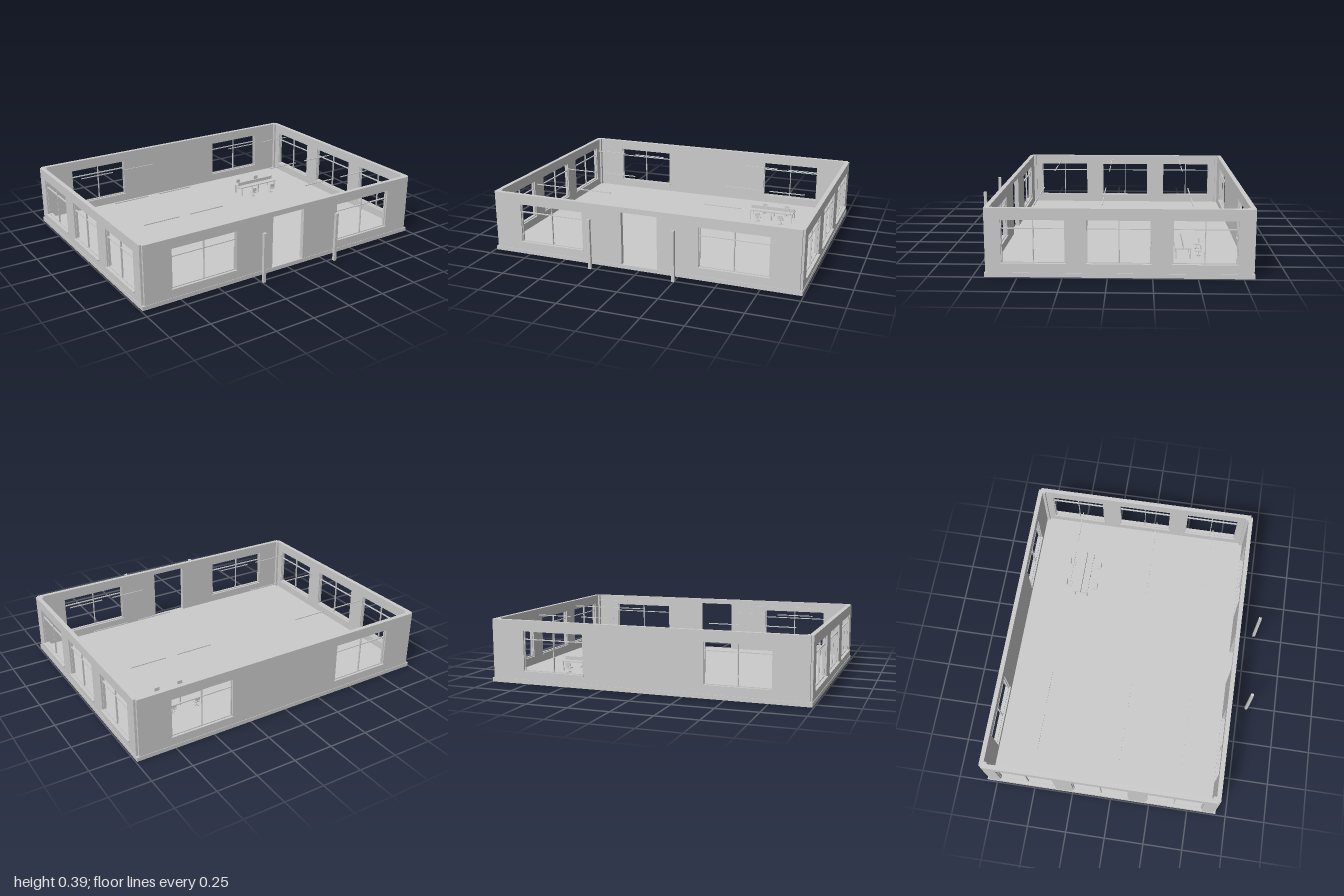
import * as THREE from 'three';

const grey = new THREE.MeshStandardMaterial({ color: 0xcccccc, flatShading: true });
const FLOOR = 0.025, TOP = 0.39, THICK = 0.028;
const WIN_LOW = 0.08, WIN_HIGH = 0.327;

// Box given by its minimum and maximum corners
function box(parent, name, x0, x1, y0, y1, z0, z1) {
  const mesh = new THREE.Mesh(new THREE.BoxGeometry(x1 - x0, y1 - y0, z1 - z0), grey);
  mesh.position.set((x0 + x1) / 2, (y0 + y1) / 2, (z0 + z1) / 2);
  mesh.name = name;
  parent.add(mesh);
  return mesh;
}

function rect(target, x0, x1, y0, y1) {
  target.moveTo(x0, y0);
  target.lineTo(x1, y0);
  target.lineTo(x1, y1);
  target.lineTo(x0, y1);
  target.closePath();
  return target;
}

// Frame, mullion, transom and sill, in the wall's own space
function addWindow(wall, a, b, sillOut) {
  const g = new THREE.Group();
  g.name = 'window';
  const w = 0.005, z0 = -0.02, z1 = -0.01, mid = (a + b) / 2;
  for (const x of [a, b - w]) box(g, 'frameSide', x, x + w, WIN_LOW, WIN_HIGH, z0, z1);
  for (const y of [WIN_LOW, 0.272, WIN_HIGH - w]) box(g, 'frameRail', a, b, y, y + w, z0, z1);
  box(g, 'mullion', mid - w / 2, mid + w / 2, WIN_LOW, WIN_HIGH, z0, z1);
  box(g, 'sill', a - 0.005, b + 0.005, WIN_LOW - 0.007, WIN_LOW, -THICK - 0.005, sillOut);
  wall.add(g);
}

// Wall whose outer face lies at local z = 0 and looks along +z
function addWall(parent, name, u0, u1, windows, door, sillOut) {
  const wall = new THREE.Group();
  wall.name = name;
  const shape = new THREE.Shape();
  if (door) {
    const pts = [[u0, FLOOR], [door[0], FLOOR], [door[0], door[2]], [door[1], door[2]],
      [door[1], FLOOR], [u1, FLOOR], [u1, TOP], [u0, TOP]];
    shape.setFromPoints(pts.map(p => new THREE.Vector2(...p)));
  } else rect(shape, u0, u1, FLOOR, TOP);
  for (const [a, b] of windows) {
    shape.holes.push(rect(new THREE.Path(), a, b, WIN_LOW, WIN_HIGH));
    addWindow(wall, a, b, sillOut);
  }
  const geo = new THREE.ExtrudeGeometry(shape, { depth: THICK, bevelEnabled: false });
  geo.translate(0, 0, -THICK);
  const panel = new THREE.Mesh(geo, grey);
  panel.name = 'wallPanel';
  wall.add(panel);
  parent.add(wall);
  return wall;
}

// Swivel chair; its back is on the local +z side
function makeChair() {
  const g = new THREE.Group();
  g.name = 'chair';
  box(g, 'seat', -0.018, 0.018, 0.03, 0.035, -0.018, 0.018);
  box(g, 'chairBack', -0.016, 0.016, 0.042, 0.068, 0.014, 0.018);
  box(g, 'backSupport', -0.003, 0.003, 0.03, 0.045, 0.016, 0.019);
  const stem = new THREE.Mesh(new THREE.CylinderGeometry(0.002, 0.002, 0.027, 8), grey);
  stem.position.y = 0.0175;
  stem.name = 'stem';
  g.add(stem);
  for (let i = 0; i < 5; i++) {
    const foot = new THREE.Group();
    foot.rotation.y = (i * Math.PI * 2) / 5;
    box(foot, 'foot', 0, 0.017, 0.001, 0.005, -0.0015, 0.0015);
    g.add(foot);
  }
  return g;
}

export function createModel() {
  const model = new THREE.Group();
  model.name = 'building';

  // Floor slab
  box(model, 'floorSlab', -0.993, 0.993, 0, FLOOR, -0.813, 0.684);

  // Walls with window and door openings
  const front = addWall(model, 'frontWall', -0.977, 0.977,
    [[-0.8, -0.375], [0.375, 0.8]], [-0.115, 0.115, 0.357], 0.006);
  front.position.z = 0.681;
  const back = addWall(model, 'backWall', -0.977, 0.977,
    [[-0.77, -0.375], [0.375, 0.77]], null, 0.005);
  back.position.z = -0.81;
  back.rotation.y = Math.PI;
  const spans = [[0.232, 0.588], [-0.24, 0.115], [-0.715, -0.358]];
  const right = addWall(model, 'rightWall', -0.667, 0.796,
    spans.map(([a, b]) => [-b, -a]), null, 0.01);
  right.name = 'leftWall';
  right.position.x = 0.99;
  right.rotation.y = Math.PI / 2;
  const left = addWall(model, 'rightWall', -0.796, 0.667, spans, null, 0.01);
  left.position.x = -0.99;
  left.rotation.y = -Math.PI / 2;

  for (const s of [-1, 1]) {
    // Columns in the inner corners
    for (const z of [-0.775, 0.645])
      box(model, 'cornerColumn', s * 0.961 - 0.012, s * 0.961 + 0.012, FLOOR, TOP, z - 0.012, z + 0.012);
    // Free-standing posts ahead of the entrance
    box(model, 'entrancePost', s * 0.265 - 0.009, s * 0.265 + 0.009, FLOOR, 0.337, 0.797, 0.815);
    // Ceiling strip lights
    for (const z of [-0.475, 0.035, 0.42])
      for (const x of [0.435, 0.735].map(v => (s > 0 ? v : v - 0.02) * s))
        box(model, 'stripLight', x - 0.113, x + 0.113, 0.376, 0.381, z - 0.003, z + 0.003);
  }

  // Shared desk with a divider
  const desk = new THREE.Group();
  desk.name = 'desk';
  box(desk, 'deskTop', 0.382, 0.688, 0.083, 0.089, -0.481, -0.386);
  box(desk, 'divider', 0.382, 0.688, 0.089, 0.112, -0.436, -0.432);
  for (const x of [0.388, 0.535, 0.682])
    for (const z of [-0.475, -0.392])
      box(desk, 'deskLeg', x - 0.003, x + 0.003, FLOOR, 0.083, z - 0.003, z + 0.003);
  model.add(desk);

  // Chairs on both sides of the desk
  for (const x of [0.455, 0.615])
    for (const [z, turn] of [[-0.342, 0], [-0.526, Math.PI]]) {
      const chair = makeChair();
      chair.position.set(x, FLOOR, z);
      chair.rotation.y = turn;
      model.add(chair);
    }

  return model;
}
